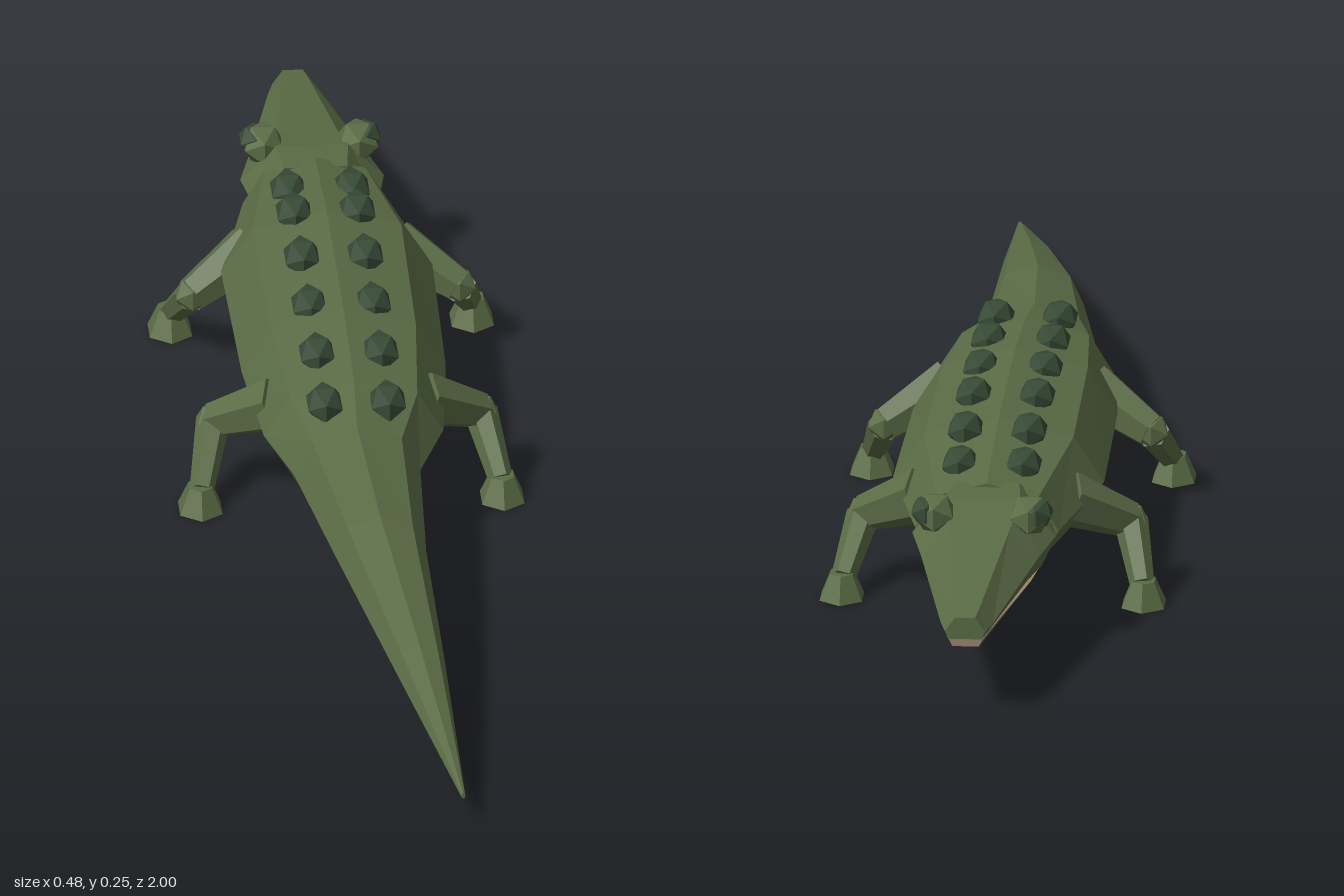
import * as THREE from 'three';

const mat = (name, color) => {
  const m = new THREE.MeshStandardMaterial({ color, flatShading: true });
  m.name = name;
  return m;
};

// Skin a list of rings (same point count, counter-clockwise seen from +z, ordered from -z to +z), capped.
function loft(rings) {
  const n = rings[0].length;
  const index = [];
  for (let i = 0; i < rings.length - 1; i++) {
    for (let j = 0; j < n; j++) {
      const a = i * n + j, b = i * n + (j + 1) % n;
      index.push(a, b, a + n, b, b + n, a + n);
    }
  }
  const last = (rings.length - 1) * n;
  for (let j = 1; j < n - 1; j++) index.push(0, j + 1, j, last, last + j, last + j + 1);
  const g = new THREE.BufferGeometry();
  g.setAttribute('position', new THREE.Float32BufferAttribute(rings.flat(2), 3));
  g.setIndex(index);
  const flat = g.toNonIndexed();
  flat.computeVertexNormals();
  return flat;
}

// Eight-sided elliptical ring
const octagon = ([z, cx, cy, rx, ry]) => Array.from({ length: 8 }, (_, i) => {
  const a = i * Math.PI / 4;
  return [cx + rx * Math.cos(a), cy + ry * Math.sin(a), z];
});

// Flat-bottomed head ring: half width, bottom, side edge height, top
const headRing = ([z, w, bottom, edge, top]) => [
  [w * 0.8, bottom, z], [w, edge, z], [w * 0.5, top, z],
  [-w * 0.5, top, z], [-w, edge, z], [-w * 0.8, bottom, z],
];

// Lower jaw ring: half width, bottom, top
const jawRing = ([z, w, bottom, top]) => [
  [w * 0.7, bottom, z], [w, top, z], [-w, top, z], [-w * 0.7, bottom, z],
];

export function createModel() {
  const root = new THREE.Group();
  root.name = 'crocodile';
  const skin = mat('skin green', 0x5a6b45);
  const dark = mat('dark scale green', 0x364a35);
  const jawTan = mat('jaw tan', 0x97836a);

  const add = (parent, name, geometry, material, pos = [0, 0, 0]) => {
    const m = new THREE.Mesh(geometry, material);
    m.name = name;
    m.position.set(...pos);
    parent.add(m);
    return m;
  };

  // Body and curving tail: z, centre x, centre y, half width, half height
  add(root, 'bodyAndTail', loft([
    [-0.61, 0, 0.14, 0.1, 0.067],
    [-0.4, 0, 0.142, 0.147, 0.09],
    [-0.1, 0, 0.14, 0.142, 0.092],
    [0.08, 0, 0.132, 0.125, 0.082],
    [0.19, -0.004, 0.127, 0.088, 0.071],
    [0.42, 0.01, 0.12, 0.064, 0.056],
    [0.7, 0.043, 0.083, 0.036, 0.033],
    [1, 0.08, 0.035, 0.003, 0.004],
  ].map(octagon)), skin);

  // Head and upper jaw
  add(root, 'head', loft([
    [-1, 0.028, 0.112, 0.123, 0.143],
    [-0.97, 0.036, 0.112, 0.125, 0.148],
    [-0.74, 0.082, 0.109, 0.145, 0.182],
    [-0.66, 0.1, 0.105, 0.15, 0.2],
    [-0.59, 0.088, 0.1, 0.15, 0.202],
  ].map(headRing)), skin);

  // Lower jaw
  add(root, 'lowerJaw', loft([
    [-0.99, 0.026, 0.098, 0.113],
    [-0.74, 0.072, 0.092, 0.111],
    [-0.6, 0.085, 0.087, 0.106],
  ].map(jawRing)), jawTan);

  const bump = new THREE.IcosahedronGeometry(1, 0);

  // Paired rows of back scales: z, height of centre
  const scales = new THREE.Group();
  scales.name = 'backScales';
  root.add(scales);
  const rows = [[0.12, 0.201], [-0.01, 0.212], [-0.145, 0.218], [-0.28, 0.224], [-0.42, 0.221], [-0.52, 0.205]];
  for (const [z, y] of rows) {
    for (const s of [-1, 1]) add(scales, 'backScale', bump, dark, [s * 0.044, y, z]).scale.set(0.028, 0.026, 0.045);
  }

  // Tapered segment between two points
  const limb = (parent, name, a, b, ra, rb) => {
    const p = new THREE.Vector3(...a), q = new THREE.Vector3(...b);
    const d = q.clone().sub(p);
    const m = add(parent, name, new THREE.CylinderGeometry(rb, ra, d.length(), 6), skin,
      p.clone().add(q).multiplyScalar(0.5).toArray());
    m.quaternion.setFromUnitVectors(new THREE.Vector3(0, 1, 0), d.normalize());
  };

  for (const s of [-1, 1]) {
    const side = s > 0 ? 'left' : 'right';

    // Eye: brow bump with a dark eyeball on its outer side
    add(root, side + 'Brow', bump, skin, [s * 0.066, 0.19, -0.69]).scale.set(0.031, 0.03, 0.042);
    add(root, side + 'Eye', bump, dark, [s * 0.077, 0.195, -0.695]).scale.set(0.024, 0.022, 0.032);

    // Legs: hip z, knee z, foot z
    for (const [name, hip, knee, foot] of [['FrontLeg', -0.47, -0.425, -0.505], ['HindLeg', 0, -0.045, 0.035]]) {
      const leg = new THREE.Group();
      leg.name = side + name;
      root.add(leg);
      const kneePos = [s * 0.186, 0.095, knee], ankle = [s * 0.208, 0.028, foot];
      limb(leg, 'upperLeg', [s * 0.1, 0.14, hip], kneePos, 0.04, 0.026);
      add(leg, 'knee', bump, skin, kneePos).scale.setScalar(0.026);
      limb(leg, 'lowerLeg', kneePos, ankle, 0.024, 0.017);
      add(leg, 'foot', new THREE.CylinderGeometry(0.018, 0.034, 0.036, 6), skin,
        [s * 0.21, 0.018, foot]).scale.set(1, 1, 1.25);
    }
  }

  return root;
}
